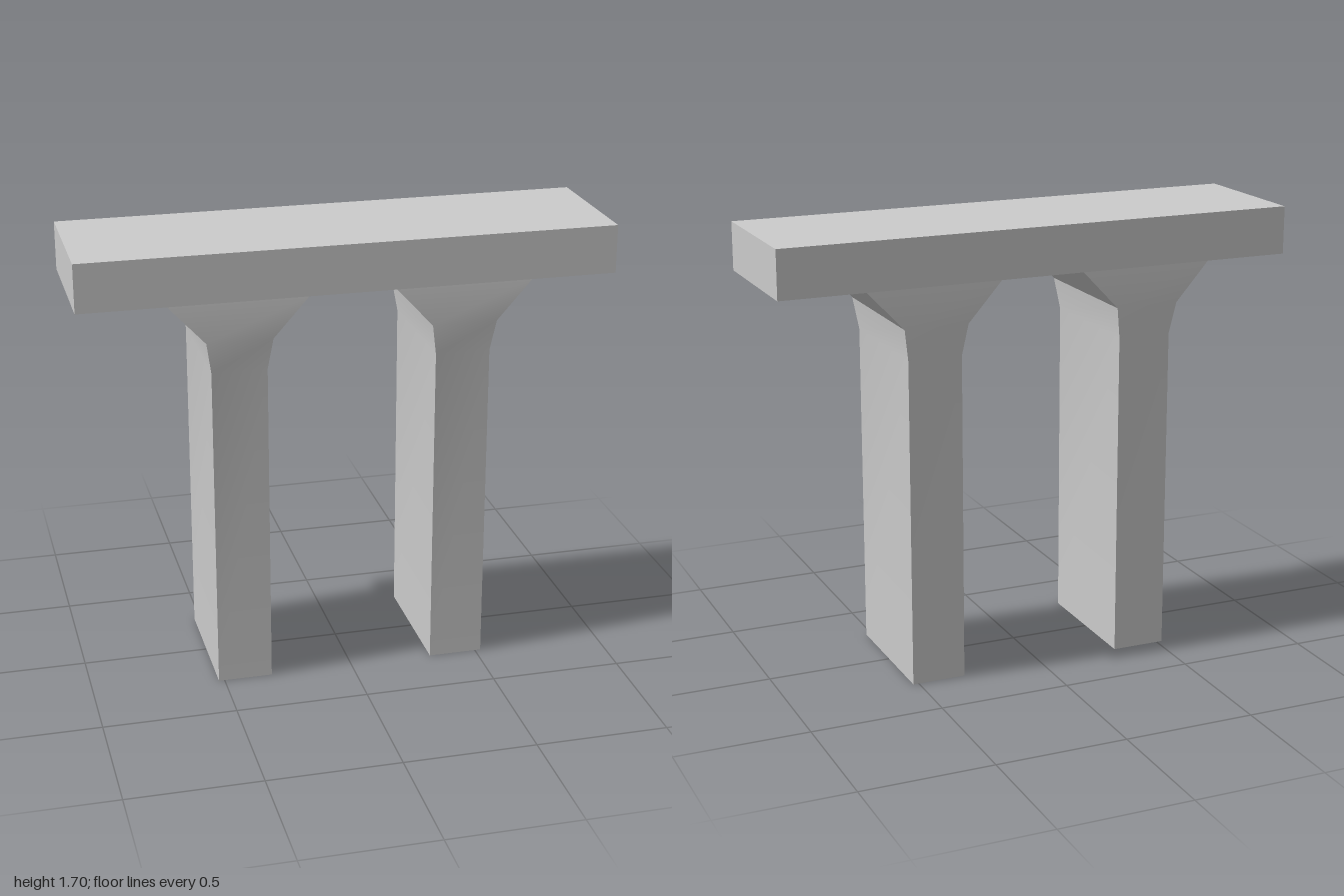
import * as THREE from 'three';
import { toCreasedNormals } from 'three/addons/utils/BufferGeometryUtils.js';

const BEAM_BOTTOM = 1.515;
const BEAM_TOP = 1.697;

// Pillar cross-sections from the ground up: [height, half width, half depth]
const SECTIONS = [
  [0, 0.103, 0.263],
  [1.25, 0.103, 0.263],
  [1.37, 0.122, 0.282],
  [BEAM_BOTTOM, 0.257, 0.272],
];

// A box cut into height steps, each step fitted to its cross-section
function pillarGeometry() {
  const steps = SECTIONS.length - 1;
  const geometry = new THREE.BoxGeometry(2, steps, 2, 1, steps, 1);
  const p = geometry.attributes.position;
  for (let i = 0; i < p.count; i++) {
    const [y, halfW, halfD] = SECTIONS[Math.round(p.getY(i) + steps / 2)];
    p.setXYZ(i, p.getX(i) * halfW, y, p.getZ(i) * halfD);
  }
  return toCreasedNormals(geometry, Math.PI / 6);
}

export function createModel() {
  const model = new THREE.Group();
  model.name = 'bridgePier';
  const material = new THREE.MeshStandardMaterial({ color: 0xcccccc });

  // Cross beam
  const height = BEAM_TOP - BEAM_BOTTOM;
  const beam = new THREE.Mesh(new THREE.BoxGeometry(2, height, 0.545), material);
  beam.name = 'crossBeam';
  beam.position.y = BEAM_BOTTOM + height / 2;
  model.add(beam);

  // Two pillars with flared heads
  const geometry = pillarGeometry();
  for (const side of [-1, 1]) {
    const pillar = new THREE.Mesh(geometry, material);
    pillar.name = side > 0 ? 'leftPillar' : 'rightPillar';
    pillar.position.x = side * 0.419;
    model.add(pillar);
  }
  return model;
}
